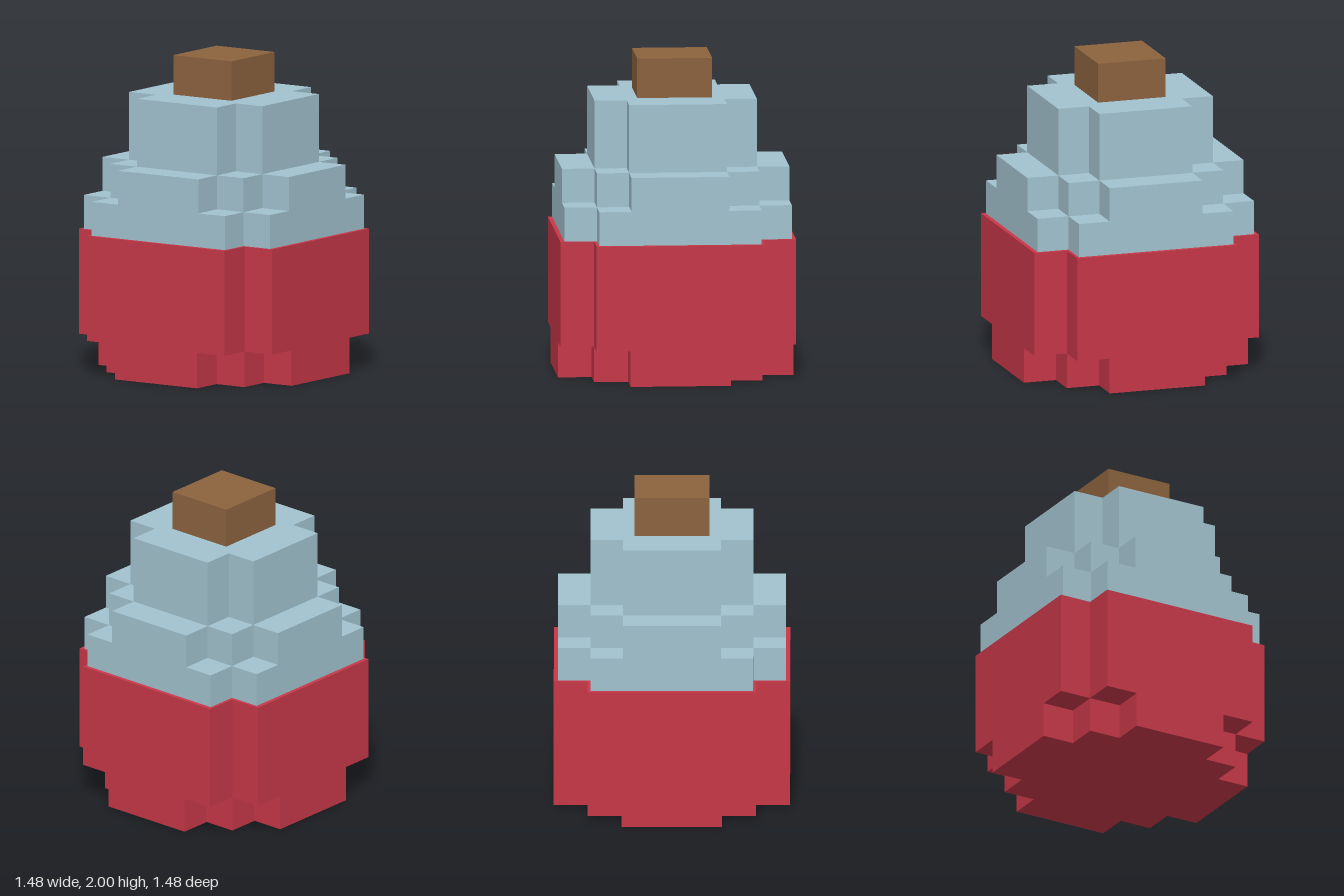
import * as THREE from 'three';

// Stepped outline: one quadrant's staircase of [x, z] corners, turned four times.
function steppedShape(steps) {
  const corner = [];
  steps.forEach(([x, z], i) => {
    corner.push([x, z]);
    if (i + 1 < steps.length) corner.push([steps[i + 1][0], z]);
  });
  const points = [];
  for (let q = 0; q < 4; q++) {
    const c = [1, 0, -1, 0][q], s = [0, 1, 0, -1][q];
    corner.forEach(([x, z]) => points.push(new THREE.Vector2(c * x - s * z, s * x + c * z)));
  }
  return new THREE.Shape(points);
}

function layer(name, steps, bottom, top, material) {
  const geometry = new THREE.ExtrudeGeometry(steppedShape(steps), { depth: top - bottom, bevelEnabled: false });
  geometry.rotateX(-Math.PI / 2);
  const mesh = new THREE.Mesh(geometry, material);
  mesh.position.y = bottom;
  mesh.name = name;
  return mesh;
}

// Outlines: a plain cross, and a cross with an extra step in each corner.
const cross = (wide, narrow) => [[wide, narrow], [narrow, wide]];
const steppedCross = (wide, mid, narrow) => [[wide, narrow], [mid, mid], [narrow, wide]];

export function createModel() {
  const material = (color) => new THREE.MeshStandardMaterial({ color, flatShading: true });
  const red = material(0xc63748);
  const blue = material(0xa1c2ce);
  const brown = material(0x8c623e);

  // Red liquid filling the lower half
  const liquid = new THREE.Group();
  liquid.name = 'liquid';
  liquid.add(
    layer('liquidBase', steppedCross(0.74, 0.528, 0.315), 0, 0.225, red),
    layer('liquidBody', cross(0.74, 0.528), 0.225, 0.89, red),
  );

  // Pale blue glass shoulder and neck
  const glass = new THREE.Group();
  glass.name = 'glass';
  glass.add(
    layer('lowerShoulder', cross(0.714, 0.51), 0.89, 1.105, blue),
    layer('upperShoulder', steppedCross(0.714, 0.51, 0.307), 1.105, 1.32, blue),
    layer('neck', cross(0.51, 0.307), 1.32, 1.75, blue),
  );

  // Stopper
  const cork = new THREE.Mesh(new THREE.BoxGeometry(0.47, 0.25, 0.445), brown);
  cork.position.y = 1.875;
  cork.name = 'cork';

  const model = new THREE.Group();
  model.name = 'bottle';
  model.add(liquid, glass, cork);
  return model;
}
